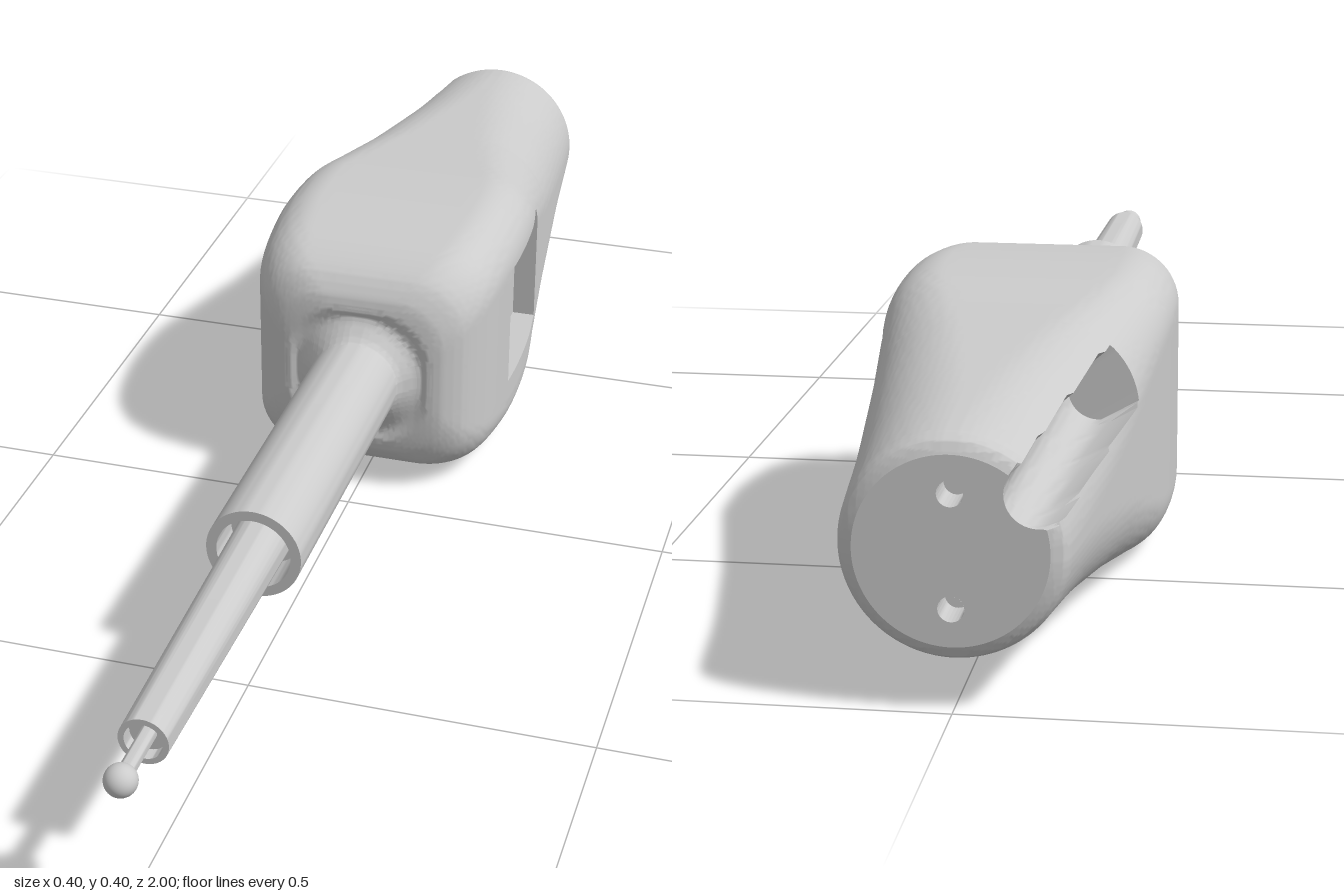
import * as THREE from 'three';
import { toCreasedNormals } from 'three/addons/utils/BufferGeometryUtils.js';

const material = new THREE.MeshStandardMaterial({ color: 0xcccccc });
const AXIS_Y = 0.2;
const STEPS = 7;            // rows between two stations of the handle
const COLS = 192;           // columns around the handle
const WIN_COLS = 28;        // columns across the side window
const WIN_Y = [-0.08, 0.12];

// Handle stations: half width, corner roundness (1 = circle), z
const stations = [
  [0.067, 1, -0.012], [0.071, 1, -0.032], [0.088, 1, -0.05], [0.115, 0.7, -0.054],
  [0.14, 0.55, -0.064], [0.165, 0.48, -0.088], [0.186, 0.43, -0.14], [0.198, 0.4, -0.24],
  [0.2, 0.4, -0.31], [0.197, 0.42, -0.39], [0.188, 0.5, -0.47], [0.177, 0.65, -0.575],
  [0.1765, 0.66, -0.58], [0.165, 0.8, -0.7], [0.153, 0.92, -0.82], [0.14, 1, -0.96],
  [0.137, 1, -0.98], [0.13, 1, -0.993], [0.117, 1, -1],
];
const spline = new THREE.CatmullRomCurve3(stations.map(s => new THREE.Vector3(...s)));
const ROWS = (stations.length - 1) * STEPS;
const rows = Array.from({ length: ROWS + 1 }, (_, i) => spline.getPoint(i / ROWS));
const WIN_ROWS = [7 * STEPS, 10 * STEPS];

// Distance from the axis to a rounded square at a given angle
function radius(w, k, angle) {
  const c = Math.abs(Math.cos(angle)), s = Math.abs(Math.sin(angle));
  const hi = Math.max(c, s), lo = Math.min(c, s);
  const r = Math.min(k, 1) * w, a = w - r;
  if (lo * w / hi <= a) return w / hi;
  const b = a * (c + s);
  return b + Math.sqrt(Math.max(0, b * b - 2 * a * a + r * r));
}

// Angle at which a row reaches height y on the +x side
function angleAt(row, y) {
  let t = 0;
  for (let n = 0; n < 20; n++) t = Math.asin(y / radius(row.x, row.y, t));
  return t;
}

// Point on the handle skin, columns aligned with the window edges, groove cut in
const GROOVE_ANGLE = THREE.MathUtils.degToRad(35), GROOVE_R = 0.04;
function skin(i, j) {
  const row = rows[i];
  const near = rows[THREE.MathUtils.clamp(i, ...WIN_ROWS)];
  const t0 = angleAt(near, WIN_Y[0]), t1 = angleAt(near, WIN_Y[1]);
  const angle = j <= WIN_COLS
    ? t0 + (t1 - t0) * j / WIN_COLS
    : t1 + (t0 + 2 * Math.PI - t1) * (j - WIN_COLS) / (COLS - WIN_COLS);
  const r = radius(row.x, row.y, angle);
  const p = new THREE.Vector3(r * Math.cos(angle), r * Math.sin(angle), row.z);
  const n = new THREE.Vector3(-Math.cos(GROOVE_ANGLE), Math.sin(GROOVE_ANGLE), 0);
  const u = p.x * Math.sin(GROOVE_ANGLE) + p.y * Math.cos(GROOVE_ANGLE);
  const d = p.dot(n);
  if (p.z < -0.579 && d > 0 && Math.abs(u) < GROOVE_R) {
    const centre = 0.125 + 0.06 * (p.z + 1);
    const floor = centre - Math.sqrt(GROOVE_R ** 2 - u * u);
    if (d > floor) p.addScaledVector(n, floor - d);
  }
  return p;
}

// Window pocket: flat floor with a sloped upper part, walls at its border
function pocket(i, j) {
  const [r0, r1] = WIN_ROWS;
  const p = skin(THREE.MathUtils.clamp(i, r0, r1), THREE.MathUtils.clamp(j, 0, WIN_COLS));
  const inside = i >= r0 && i <= r1 && j >= 0 && j <= WIN_COLS;
  if (inside) p.x = Math.min(p.x, 0.152 + Math.max(0, p.y - 0.05) * 0.5);
  return p;
}

// Grid surface from a point function
function grid(i0, i1, j0, j1, point, skip = () => false) {
  const pos = [], index = [], width = j1 - j0 + 1;
  for (let i = i0; i <= i1; i++)
    for (let j = j0; j <= j1; j++) pos.push(...point(i, j).toArray());
  for (let i = i0; i < i1; i++)
    for (let j = j0; j < j1; j++) {
      if (skip(i, j)) continue;
      const a = (i - i0) * width + j - j0, c = a + width;
      index.push(a, c, a + 1, a + 1, c, c + 1);
    }
  const g = new THREE.BufferGeometry();
  g.setAttribute('position', new THREE.Float32BufferAttribute(pos, 3));
  g.setIndex(index);
  return toCreasedNormals(g, 0.6);
}

// Turned part along z, profile given as [radius, z]
function turned(profile, segments = 64) {
  const g = new THREE.LatheGeometry(profile.map(p => new THREE.Vector2(...p)), segments);
  return toCreasedNormals(g.rotateX(Math.PI / 2), 0.6);
}

export function createModel() {
  const model = new THREE.Group();
  model.name = 'probeTool';
  const add = (name, geometry, mat = material) => {
    const mesh = new THREE.Mesh(geometry, mat);
    mesh.name = name;
    mesh.position.y = AXIS_Y;
    model.add(mesh);
    return mesh;
  };

  // Handle and its side window
  const inWindow = (i, j) => i >= WIN_ROWS[0] && i < WIN_ROWS[1] && j < WIN_COLS;
  add('handle', grid(0, ROWS, 0, COLS, skin, inWindow));
  add('sideWindow', grid(WIN_ROWS[0] - 1, WIN_ROWS[1] + 1, -1, WIN_COLS + 1, pocket));

  // Flat tail with two round holes
  const tail = new THREE.Shape(Array.from({ length: COLS }, (_, j) => {
    const p = skin(ROWS, j);
    return new THREE.Vector2(-p.x, p.y);
  }));
  for (const y of [-0.07, 0.07]) {
    tail.holes.push(new THREE.Path().absarc(0, y, 0.016, 0, Math.PI * 2, true));
    // Blind hole, seen from inside
    const hole = add('tailHole', turned([[0, -0.95], [0.016, -0.95], [0.016, -1]], 24),
      new THREE.MeshStandardMaterial({ color: 0xcccccc, side: THREE.DoubleSide }));
    hole.position.y += y;
  }
  add('tailFace', new THREE.ShapeGeometry(tail, 24).rotateY(Math.PI).translate(0, 0, -1));

  // Hollow outer sleeve
  add('sleeve', turned([[0.069, -0.04], [0.069, 0.465], [0.054, 0.465], [0.054, 0.4], [0.03, 0.4]]));

  // Tapered inner rod with a recessed end
  add('rod', turned([[0.041, 0.39], [0.034, 0.9], [0.026, 0.9], [0.026, 0.88], [0, 0.88]]));

  // Stylus and ball tip
  add('stylus', turned([[0.011, 0.87], [0.011, 0.975]], 32));
  add('ballTip', new THREE.SphereGeometry(0.022, 32, 20).translate(0, 0, 0.978));

  return model;
}
